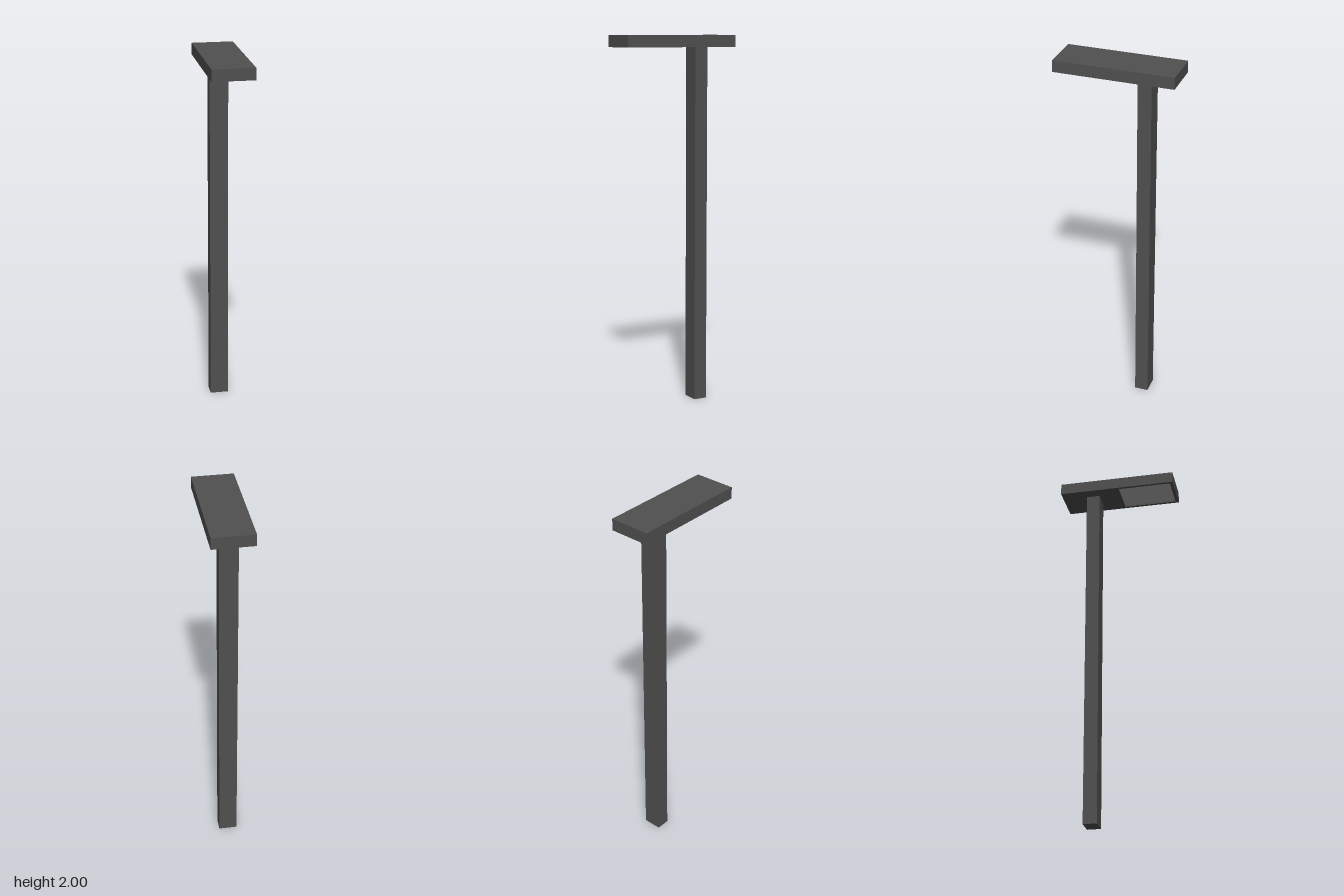
import * as THREE from 'three';

const metal = new THREE.MeshStandardMaterial({ color: 0x505050 });
const glass = new THREE.MeshStandardMaterial({ color: 0xb4b4b4 });

function box(name, material, [w, h, d], [x, y, z]) {
  const mesh = new THREE.Mesh(new THREE.BoxGeometry(w, h, d), material);
  mesh.name = name;
  mesh.position.set(x, y, z);
  return mesh;
}

// Rectangle outline in (x, -z), ready to be laid flat
function rectangle(path, halfWidth, z0, z1) {
  path.moveTo(-halfWidth, -z1);
  path.lineTo(halfWidth, -z1);
  path.lineTo(halfWidth, -z0);
  path.lineTo(-halfWidth, -z0);
  path.closePath();
  return path;
}

export function createModel() {
  const group = new THREE.Group();
  group.name = 'streetLamp';

  const headBottom = 1.937, recess = 0.01, halfWidth = 0.112, halfLength = 0.322;
  const lens = { halfWidth: 0.098, z0: 0.01, z1: 0.305 };

  // Square post set toward the back of the head
  group.add(box('post', metal, [0.1, headBottom, 0.074], [0, headBottom / 2, -0.148]));

  // Lamp head: a solid slab over a thin rim that frames the light
  const slabHeight = 2 - headBottom - recess;
  const head = new THREE.Group();
  head.name = 'lampHead';
  head.add(box('headSlab', metal, [2 * halfWidth, slabHeight, 2 * halfLength], [0, 2 - slabHeight / 2, 0]));

  const outline = rectangle(new THREE.Shape(), halfWidth, -halfLength, halfLength);
  outline.holes.push(rectangle(new THREE.Path(), lens.halfWidth, lens.z0, lens.z1));
  const rimGeometry = new THREE.ExtrudeGeometry(outline, { depth: recess, bevelEnabled: false });
  rimGeometry.rotateX(-Math.PI / 2);
  const rim = new THREE.Mesh(rimGeometry, metal);
  rim.name = 'headRim';
  rim.position.y = headBottom;
  head.add(rim);

  // Pale light panel recessed in the underside
  head.add(box('lightPanel', glass,
    [2 * lens.halfWidth, 0.004, lens.z1 - lens.z0],
    [0, headBottom + recess, (lens.z0 + lens.z1) / 2]));
  group.add(head);

  return group;
}
